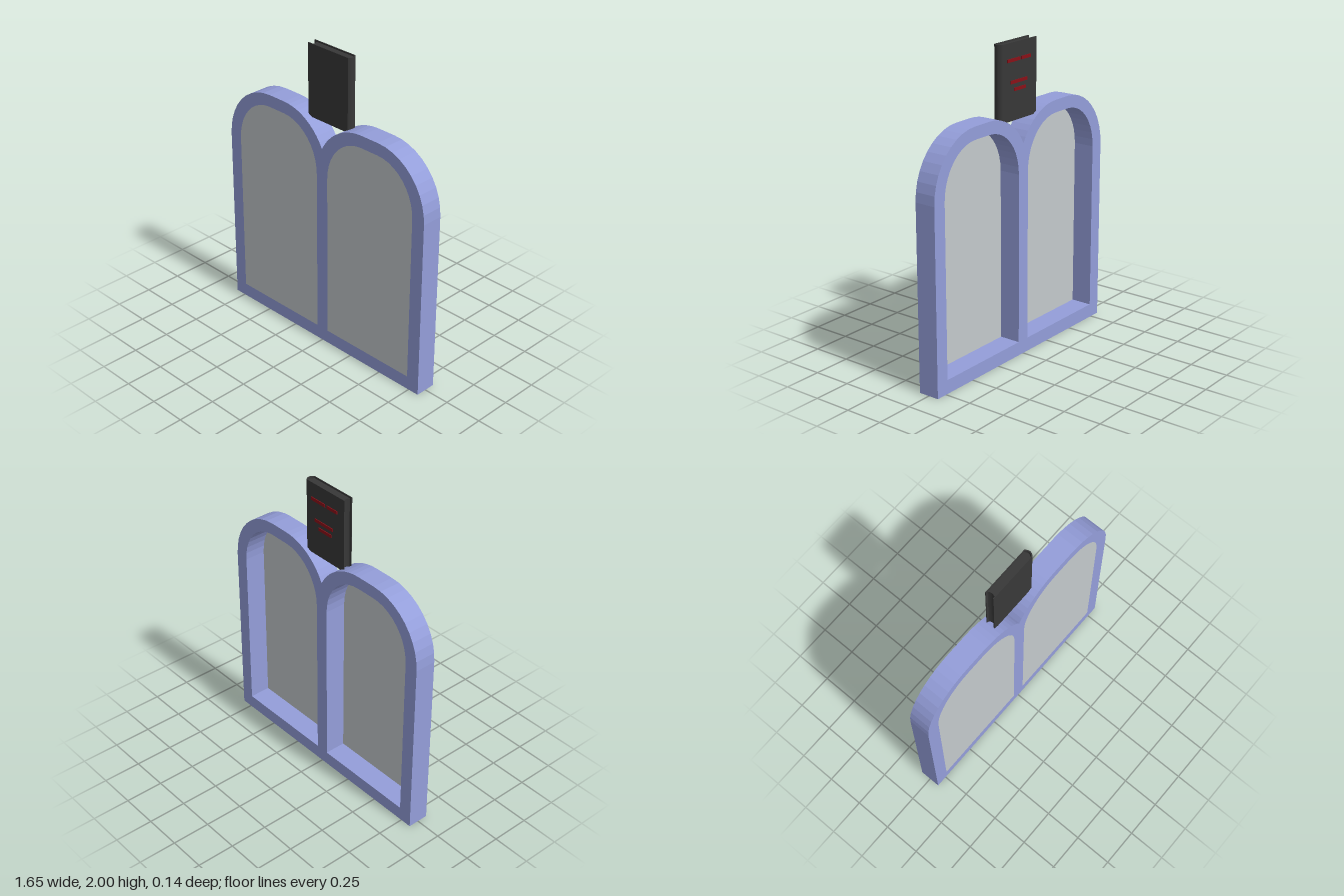
import * as THREE from 'three';

const material = (color) => new THREE.MeshStandardMaterial({ color, side: THREE.DoubleSide });

const ARCH_X = 0.39, ARCH_Y = 1.19, FLAT = 0.065; // arch middle, spring line, half of the flat top

function add(group, name, geometry, mat) {
  const mesh = new THREE.Mesh(geometry, mat);
  mesh.name = name;
  group.add(mesh);
  return mesh;
}

// Twin-arched outline; the two arches meet in a notch at x = 0
function frameOutline() {
  const rx = 0.37, ry = 0.39;
  const outer = ARCH_X + FLAT, inner = ARCH_X - FLAT;
  const notch = Math.acos(-inner / rx);
  const s = new THREE.Shape();
  s.moveTo(-outer - rx, 0);
  s.lineTo(outer + rx, 0);
  s.absellipse(outer, ARCH_Y, rx, ry, 0, Math.PI / 2);
  s.absellipse(inner, ARCH_Y, rx, ry, Math.PI / 2, notch);
  s.absellipse(-inner, ARCH_Y, rx, ry, Math.PI - notch, Math.PI / 2);
  s.absellipse(-outer, ARCH_Y, rx, ry, Math.PI / 2, Math.PI);
  s.closePath();
  return s;
}

// One arched window opening
function opening(cx) {
  const rx = 0.28, ry = 0.31, w = FLAT + rx;
  const s = new THREE.Shape();
  s.moveTo(cx - w, 0.09);
  s.lineTo(cx + w, 0.09);
  s.absellipse(cx + FLAT, ARCH_Y, rx, ry, 0, Math.PI / 2);
  s.absellipse(cx - FLAT, ARCH_Y, rx, ry, Math.PI / 2, Math.PI);
  s.closePath();
  return s;
}

// Extrudes a plan drawn in (x, -z) upwards from y0 to y1
function upright(shape, y0, y1) {
  return new THREE.ExtrudeGeometry(shape, { depth: y1 - y0, bevelEnabled: false, curveSegments: 10 })
    .rotateX(-Math.PI / 2).translate(0, y0, 0);
}

function createBook() {
  const book = new THREE.Group();
  book.name = 'book';
  const dark = material(0x383838);

  // Two covers joined by a rounded spine
  const cover = new THREE.Shape();
  cover.moveTo(-0.165, -0.02);
  cover.lineTo(0.165, -0.02);
  cover.quadraticCurveTo(0.195, 0.01, 0.165, 0.04);
  cover.lineTo(-0.165, 0.04);
  cover.lineTo(-0.165, 0.035);
  cover.lineTo(0.16, 0.035);
  cover.quadraticCurveTo(0.187, 0.01, 0.16, -0.015);
  cover.lineTo(-0.165, -0.015);
  cover.closePath();
  add(book, 'cover', upright(cover, 1.525, 2), dark);

  // Page block with a hollow fore edge and a rounded back
  const pages = new THREE.Shape();
  pages.moveTo(-0.15, -0.015);
  pages.lineTo(0.155, -0.015);
  pages.quadraticCurveTo(0.18, 0.01, 0.155, 0.035);
  pages.lineTo(-0.15, 0.035);
  pages.quadraticCurveTo(-0.135, 0.01, -0.15, -0.015);
  add(book, 'pages', upright(pages, 1.535, 1.99), dark);

  // Plain raised bars on the cover: [x, y, width]
  const red = material(0x8a1018);
  for (const [x, y, w] of [[0.06, 1.895, 0.12], [-0.06, 1.895, 0.09], [0.01, 1.762, 0.16], [0, 1.715, 0.11]]) {
    add(book, 'coverBar', new THREE.BoxGeometry(w, 0.02, 0.005), red).position.set(x, y, -0.0425);
  }
  return book;
}

export function createModel() {
  const model = new THREE.Group();
  model.name = 'archedWindowWithBook';

  // Frame with two openings
  const outline = frameOutline();
  outline.holes.push(opening(-ARCH_X), opening(ARCH_X));
  const frame = new THREE.ExtrudeGeometry(outline, { depth: 0.14, bevelEnabled: false, curveSegments: 5 });
  add(model, 'frame', frame.translate(0, 0, -0.07), material(0x949eda));

  // Panes flush with the front of the frame
  const glass = material(0xc4cacc);
  for (const side of [-1, 1]) {
    const pane = new THREE.ShapeGeometry(opening(side * ARCH_X), 5);
    add(model, side < 0 ? 'rightPane' : 'leftPane', pane.translate(0, 0, 0.07), glass);
  }

  model.add(createBook());
  return model;
}
